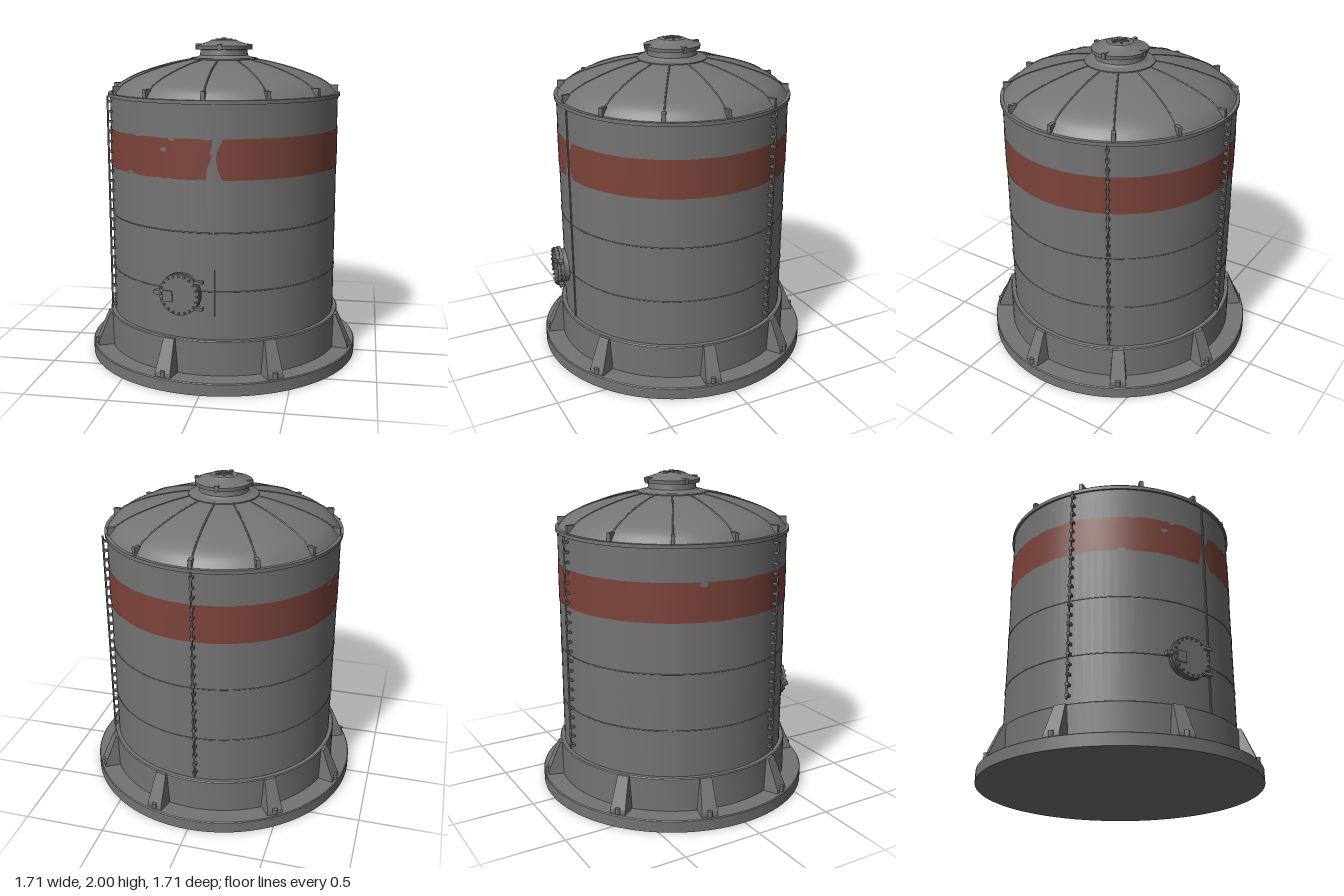
import * as THREE from 'three';
import { toCreasedNormals } from 'three/addons/utils/BufferGeometryUtils.js';

const grey = new THREE.MeshStandardMaterial({ color: 0x757373 });
grey.name = 'steel grey';
const red = new THREE.MeshStandardMaterial({ color: 0x7c443b, side: THREE.DoubleSide });
red.name = 'band red';

const WALL = 0.712;
const rad = (deg) => THREE.MathUtils.degToRad(deg);

export function createModel() {
  const model = new THREE.Group();

  function add(parent, name, geometry, x = 0, y = 0, z = 0, material = grey) {
    const mesh = new THREE.Mesh(geometry, material);
    mesh.name = name;
    mesh.position.set(x, y, z);
    parent.add(mesh);
    return mesh;
  }
  // A group turned about the axis so that its +z points outward at the angle
  function spoke(name, deg, parent = model) {
    const group = new THREE.Group();
    group.name = name;
    group.rotation.y = rad(deg);
    parent.add(group);
    return group;
  }
  function lathe(name, pts, segments = 96) {
    const g = new THREE.LatheGeometry(pts.map(([r, y]) => new THREE.Vector2(r, y)), segments);
    return add(model, name, toCreasedNormals(g, 0.5));
  }

  // Foundation, plinth and wall
  lathe('foundation', [[0, 0], [0.855, 0], [0.855, 0.07], [0.85, 0.075], [0.7, 0.075]]);
  lathe('plinth', [[0.74, 0.07], [0.74, 0.28], [0.735, 0.286], [0.70, 0.286]]);
  lathe('wall', [[WALL, 0.28], [WALL, 1.66]]);
  lathe('topRim', [[0.70, 1.645], [0.724, 1.645], [0.724, 1.667], [0.69, 1.667]]);

  // Domed roof, drawn as a smooth curve from eave to collar
  const roofCurve = new THREE.CatmullRomCurve3([
    [0.705, 1.665], [0.66, 1.715], [0.59, 1.757], [0.47, 1.803], [0.32, 1.845], [0.2, 1.868],
  ].map(([r, y]) => new THREE.Vector3(0, y, r)));
  lathe('roof', roofCurve.getPoints(18).map((p) => [p.z, p.y]));

  // Roof ribs and eave clips
  const ribGeo = new THREE.TubeGeometry(roofCurve, 18, 0.005, 5);
  const clipGeo = new THREE.BoxGeometry(0.024, 0.05, 0.045);
  for (let i = 0; i < 12; i++) {
    const s = spoke('roofRib', i * 30);
    add(s, 'rib', ribGeo);
    add(s, 'eaveClip', clipGeo, 0, 1.69, 0.69);
  }

  // Collar, neck and hatch lid
  lathe('collar', [[0.212, 1.855], [0.212, 1.872], [0.2, 1.878], [0.165, 1.88]]);
  lathe('neck', [[0.17, 1.878], [0.15, 1.892], [0.145, 1.93]], 48);
  lathe('lid', [[0.14, 1.925], [0.17, 1.928], [0.172, 1.95], [0.15, 1.957], [0.09, 1.977],
    [0.08, 1.985], [0, 1.987]], 48);
  for (let i = 0; i < 4; i++) {
    const s = spoke('lidClamp', i * 90);
    add(s, 'clampBody', new THREE.BoxGeometry(0.022, 0.036, 0.045), 0, 1.943, 0.156);
  }
  for (let i = 0; i < 6; i++) {
    const s = spoke('lidHandle', i * 60 + 15);
    add(s, 'handleSpoke', new THREE.BoxGeometry(0.01, 0.008, 0.055), 0, 1.99, 0.027);
  }
  add(model, 'handleHub', new THREE.CylinderGeometry(0.016, 0.016, 0.016, 12), 0, 1.992, 0);

  // Sloped buttresses around the plinth, wider at the foot
  const side = new THREE.Shape([[0.72, 0.075], [0.835, 0.075], [0.832, 0.1], [0.753, 0.284],
    [0.72, 0.284]].map(([x, y]) => new THREE.Vector2(x, y)));
  const buttressGeo = new THREE.ExtrudeGeometry(side, { depth: 1, bevelEnabled: false });
  buttressGeo.translate(0, 0, -0.5).rotateY(-Math.PI / 2);
  const pos = buttressGeo.attributes.position;
  for (let i = 0; i < pos.count; i++) {
    pos.setX(i, pos.getX(i) * THREE.MathUtils.mapLinear(pos.getY(i), 0.075, 0.284, 0.1, 0.07));
  }
  buttressGeo.computeVertexNormals();
  for (const deg of [-15.8, 30.4, 81, 122, 164, 217, 255, 294]) {
    const s = spoke('buttress', deg);
    add(s, 'buttressBody', buttressGeo);
    add(s, 'footBolt', new THREE.CylinderGeometry(0.015, 0.015, 0.035, 8), 0, 0.095, 0.833);
  }

  // Plate seams
  for (const y of [0.575, 0.92]) {
    const seam = add(model, 'horizontalSeam', new THREE.TorusGeometry(WALL, 0.003, 4, 96), 0, y, 0);
    seam.rotation.x = Math.PI / 2;
  }
  add(spoke('frontSeam', 4.8), 'seamStrip', new THREE.BoxGeometry(0.012, 1.36, 0.012), 0, 0.967, WALL);

  // Stand-off conduits with brackets
  const pipeGeo = new THREE.CylinderGeometry(0.006, 0.006, 1.34, 6);
  const bracketGeo = new THREE.BoxGeometry(0.022, 0.014, 0.034);
  for (const deg of [-63.5, 117.5, 181]) {
    const s = spoke('conduit', deg);
    add(s, 'conduitPipe', pipeGeo, 0, 0.985, 0.738);
    for (let i = 0; i < 22; i++) add(s, 'bracket', bracketGeo, 0, 0.34 + i * 0.061, 0.725);
  }

  // Painted band with worn ends and a slightly worn lower edge
  const startWear = [9, 7.6, 6.4, 6.2, 6, 6.6, 8, 9];
  const endWear = [1.4, 1.5, 2, 3, 3.9, 3.2, 4.2, 4.4];
  const bandGeo = new THREE.PlaneGeometry(1, 1, 180, 7);
  const bp = bandGeo.attributes.position;
  for (let i = 0; i < bp.count; i++) {
    const u = bp.getX(i) + 0.5;
    const v = bp.getY(i) + 0.5;
    const row = Math.round(v * 7);
    const a = rad(THREE.MathUtils.lerp(startWear[row], 360 + endWear[row], u));
    const worn = u > 0.7 ? 0.007 * Math.max(0, Math.sin(u * 90) * Math.sin(u * 217)) : 0;
    const r = WALL + 0.0025;
    bp.setXYZ(i, r * Math.sin(a), 1.222 + v * 0.232 + worn * (1 - 2 * v), r * Math.cos(a));
  }
  bandGeo.computeVertexNormals();
  add(model, 'paintedBand', bandGeo, 0, 0, 0, red);

  // Bare patches in the paint
  for (const [deg, y, w, h] of [[-19, 1.387, 0.022, 0.013], [-15, 1.447, 0.02, 0.009],
    [-40, 1.23, 0.03, 0.009], [-106, 1.44, 0.025, 0.015]]) {
    const patch = add(spoke('barePatch', deg), 'patch', new THREE.CircleGeometry(1, 9), 0, y, WALL + 0.004);
    patch.scale.set(w, h, 1);
  }

  // Round manhole with bolts, hinges, latch and plate
  const manhole = spoke('manhole', -9.8);
  const disc = (name, r, depth, z) => {
    add(manhole, name, new THREE.CylinderGeometry(r, r, depth, 40), 0, 0.565, z).rotation.x = Math.PI / 2;
  };
  disc('manholeNeck', 0.105, 0.08, 0.72);
  disc('manholeFlange', 0.124, 0.02, 0.747);
  disc('manholeCover', 0.122, 0.018, 0.77);
  const boltGeo = new THREE.CylinderGeometry(0.007, 0.007, 0.055, 6).rotateX(Math.PI / 2);
  for (let i = 0; i < 20; i++) {
    const a = (i / 20) * Math.PI * 2;
    add(manhole, 'manholeBolt', boltGeo, 0.11 * Math.cos(a), 0.565 + 0.11 * Math.sin(a), 0.762);
  }
  for (const y of [0.645, 0.49]) {
    add(manhole, 'hinge', new THREE.BoxGeometry(0.05, 0.018, 0.03), 0.115, y, 0.76);
  }
  add(manhole, 'latch', new THREE.BoxGeometry(0.05, 0.025, 0.03), -0.135, 0.565, 0.76);
  add(manhole, 'coverPlate', new THREE.BoxGeometry(0.06, 0.065, 0.009), -0.07, 0.552, 0.782);

  return model;
}
